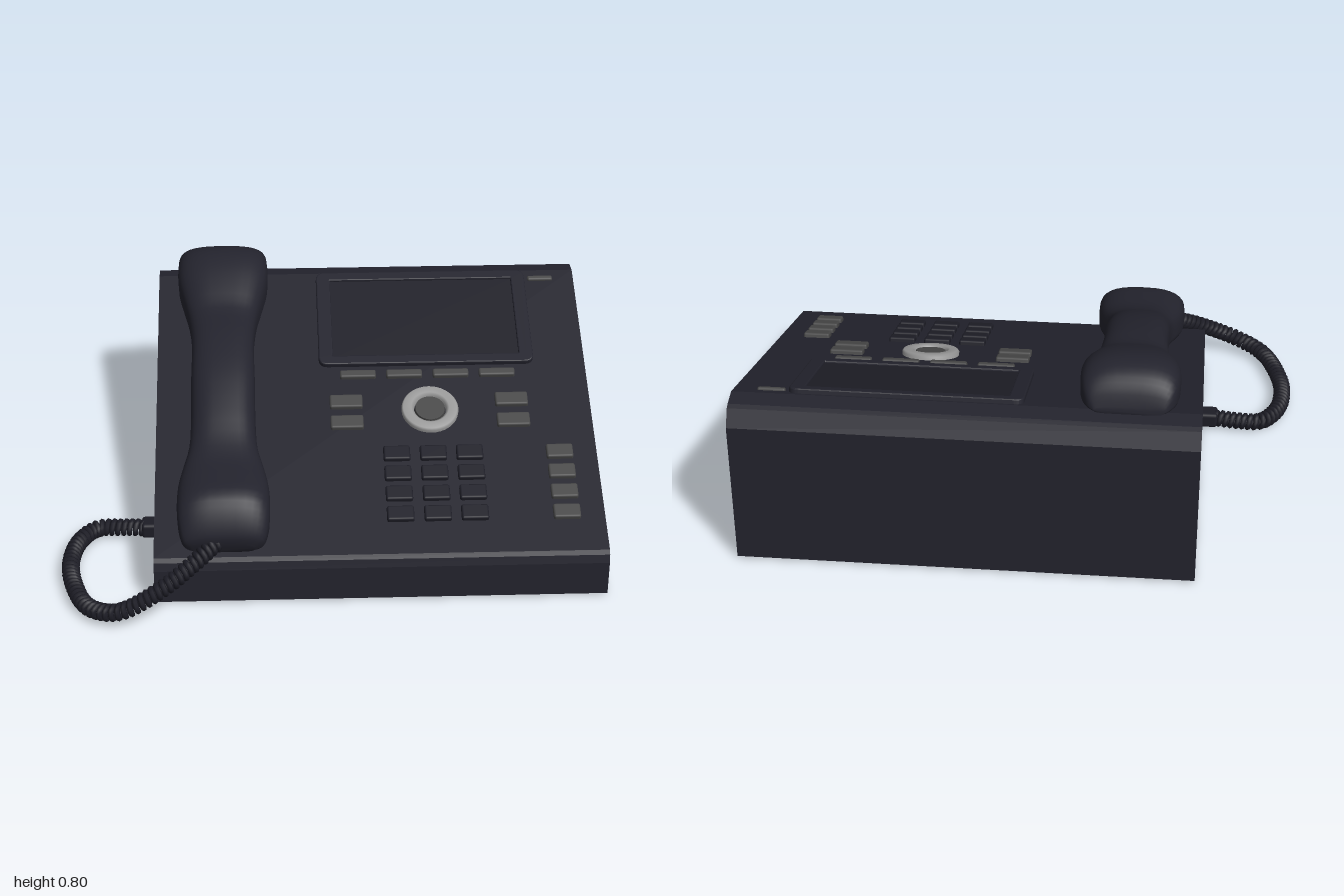
import * as THREE from 'three';
import { RoundedBoxGeometry } from 'three/addons/geometries/RoundedBoxGeometry.js';

const mat = (name, color, side = THREE.FrontSide) => {
  const m = new THREE.MeshStandardMaterial({ color });
  m.name = name;
  m.side = side;
  return m;
};

// Height and tilt of the sloping control face
const SLOPE = 0.353;
const TILT = Math.atan(SLOPE);
const faceY = z => 0.19 + (0.61 - z) * SLOPE;

function roundedRect(path, w, h, r) {
  const x = w / 2, y = h / 2;
  path.moveTo(-x + r, -y);
  path.lineTo(x - r, -y);
  path.quadraticCurveTo(x, -y, x, -y + r);
  path.lineTo(x, y - r);
  path.quadraticCurveTo(x, y, x - r, y);
  path.lineTo(-x + r, y);
  path.quadraticCurveTo(-x, y, -x, y - r);
  path.lineTo(-x, -y + r);
  path.quadraticCurveTo(-x, -y, -x + r, -y);
  return path;
}

// Handset: loft between a lower and an upper spine with a varying half width
function handsetGeometry() {
  const stations = [ // bottom z, bottom y, top z, top y, half width
    [0.60, 0.205, 0.618, 0.25, 0.11], [0.587, 0.207, 0.622, 0.29, 0.145],
    [0.55, 0.215, 0.59, 0.365, 0.162], [0.50, 0.235, 0.54, 0.418, 0.168],
    [0.40, 0.27, 0.45, 0.435, 0.166], [0.30, 0.31, 0.36, 0.448, 0.148],
    [0.22, 0.335, 0.27, 0.48, 0.127], [0.10, 0.385, 0.16, 0.542, 0.12],
    [-0.05, 0.47, 0.0, 0.618, 0.12], [-0.20, 0.53, -0.18, 0.672, 0.118],
    [-0.33, 0.555, -0.32, 0.70, 0.13], [-0.43, 0.57, -0.41, 0.745, 0.152],
    [-0.52, 0.59, -0.50, 0.785, 0.172], [-0.62, 0.625, -0.585, 0.805, 0.175],
    [-0.69, 0.65, -0.655, 0.79, 0.165], [-0.722, 0.661, -0.70, 0.75, 0.145],
    [-0.733, 0.665, -0.728, 0.69, 0.12],
  ];
  const low = new THREE.CatmullRomCurve3(stations.map(s => new THREE.Vector3(s[4], s[1], s[0])));
  const high = new THREE.CatmullRomCurve3(stations.map(s => new THREE.Vector3(s[4], s[3], s[2])));
  const rows = (stations.length - 1) * 3, n = 32, pos = [], index = [];
  const pow = (v, e) => Math.sign(v) * Math.abs(v) ** e;
  for (let i = 0; i <= rows; i++) {
    const a = low.getPoint(i / rows), b = high.getPoint(i / rows);
    for (let j = 0; j < n; j++) {
      const t = j / n * Math.PI * 2, e = Math.sin(t) < 0 ? 0.45 : 0.75;
      const v = 0.5 + 0.5 * pow(Math.sin(t), e);
      pos.push(a.x * pow(Math.cos(t), e), a.y + (b.y - a.y) * v, a.z + (b.z - a.z) * v);
      if (i < rows) {
        const k = (j + 1) % n, p = i * n;
        index.push(p + j, p + n + j, p + k, p + k, p + n + j, p + n + k);
      }
    }
  }
  for (let j = 1; j < n - 1; j++) { // end caps
    const p = rows * n;
    index.push(0, j, j + 1, p, p + j + 1, p + j);
  }
  const g = new THREE.BufferGeometry();
  g.setAttribute('position', new THREE.Float32BufferAttribute(pos, 3));
  g.setIndex(index);
  g.computeVertexNormals();
  return g;
}

// Coiled cord: a helix wound around a smooth path
function cordGeometry() {
  const path = new THREE.CatmullRomCurve3([
    [-0.42, 0.245, 0.59], [-0.50, 0.205, 0.66], [-0.62, 0.14, 0.73], [-0.77, 0.068, 0.76],
    [-0.88, 0.042, 0.70], [-0.945, 0.036, 0.56], [-0.967, 0.036, 0.42], [-0.945, 0.036, 0.28],
    [-0.88, 0.036, 0.195], [-0.79, 0.037, 0.19], [-0.69, 0.04, 0.2],
  ].map(p => new THREE.Vector3(...p)));
  const turns = Math.round(path.getLength() / 0.0225), steps = turns * 12;
  const up = new THREE.Vector3(0, 1, 0), points = [];
  for (let i = 0; i <= steps; i++) {
    const u = i / steps, t = i / 12 * Math.PI * 2;
    const side = path.getTangentAt(u).cross(up).normalize();
    const lift = side.clone().cross(path.getTangentAt(u));
    points.push(path.getPointAt(u)
      .addScaledVector(side, 0.024 * Math.cos(t))
      .addScaledVector(lift, 0.024 * Math.sin(t)));
  }
  return new THREE.TubeGeometry(new THREE.CatmullRomCurve3(points), steps, 0.0105, 6);
}

export function createModel() {
  const phone = new THREE.Group();
  phone.name = 'deskPhone';
  const shell = mat('darkShell', 0x23232d);
  const keyDark = mat('darkKey', 0x1e1e27);
  const keyGrey = mat('greyKey', 0x484848);
  const silver = mat('silverRing', 0x999999);
  const cordMat = mat('cordBlack', 0x1d1d26, THREE.DoubleSide);

  const add = (name, geo, material, parent = phone) => {
    const m = new THREE.Mesh(geo, material);
    m.name = name;
    parent.add(m);
    return m;
  };
  // Seat a part on the sloping face
  const onFace = (mesh, x, z, lift = 0) => {
    mesh.position.set(x, faceY(z) + lift * Math.cos(TILT), z + lift * Math.sin(TILT));
    mesh.rotation.x = TILT;
    return mesh;
  };
  const key = (name, x, z, w, d, material, h = 0.036) =>
    onFace(add(name, new RoundedBoxGeometry(w, h, d / Math.cos(TILT), 2, 0.008), material), x, z);

  // Wedge-shaped base, extruded across x
  const side = new THREE.Shape([
    [-0.63, 0.01], [0.80, 0.01], [0.80, 0.57], [0.762, 0.628], [0.745, 0.636], [0.68, faceY(-0.68)],
    [-0.61, 0.19], [-0.622, 0.176], [-0.63, 0.145],
  ].map(p => new THREE.Vector2(...p)));
  const base = new THREE.ExtrudeGeometry(side, { depth: 1.65, bevelEnabled: false });
  base.rotateY(Math.PI / 2).translate(-0.65, 0, 0);
  add('base', base, shell);

  // Screen: raised frame with a recessed panel
  const frame = roundedRect(new THREE.Shape(), 0.82, 0.466, 0.03);
  frame.holes.push(roundedRect(new THREE.Path(), 0.73, 0.40, 0.008));
  const frameGeo = new THREE.ExtrudeGeometry(frame, {
    depth: 0.014, bevelThickness: 0.005, bevelSize: 0.005, bevelSegments: 2, curveSegments: 6,
  });
  onFace(add('screenFrame', frameGeo.rotateX(-Math.PI / 2), shell), 0.387, -0.445);
  onFace(add('screen', new THREE.BoxGeometry(0.735, 0.009, 0.405), keyDark), 0.387, -0.443, 0.006);

  // Keys
  for (const x of [0.12, 0.298, 0.477, 0.655]) key('softKey', x, -0.178, 0.138, 0.034, keyGrey);
  for (const x of [0.07, 0.70])
    for (const z of [-0.052, 0.042]) key('functionKey', x, z, 0.125, 0.058, keyGrey);
  for (const z of [0.188, 0.275, 0.363, 0.45]) {
    key('lineKey', 0.86, z, 0.1, 0.058, keyGrey);
    for (const x of [0.25, 0.387, 0.523]) key('numberKey', x, z - 0.003, 0.1, 0.06, keyDark);
  }
  key('indicator', 0.866, -0.637, 0.1, 0.022, keyGrey, 0.02);

  // Navigation ring and centre button
  const ring = [[0.108, -0.01], [0.108, 0.012], [0.102, 0.02], [0.072, 0.022], [0.062, 0.014], [0.058, -0.01]];
  onFace(add('navigationRing',
    new THREE.LatheGeometry(ring.map(p => new THREE.Vector2(...p)), 40), silver), 0.387, -0.012);
  onFace(add('navigationButton', new THREE.CylinderGeometry(0.056, 0.06, 0.03, 32), keyGrey), 0.387, -0.012);

  // Handset, cord and plug
  add('handset', handsetGeometry(), shell).position.x = -0.395;
  add('coiledCord', cordGeometry(), cordMat);
  add('cordPlug', new RoundedBoxGeometry(0.075, 0.06, 0.07, 2, 0.012), cordMat).position.set(-0.675, 0.042, 0.2);

  return phone;
}
